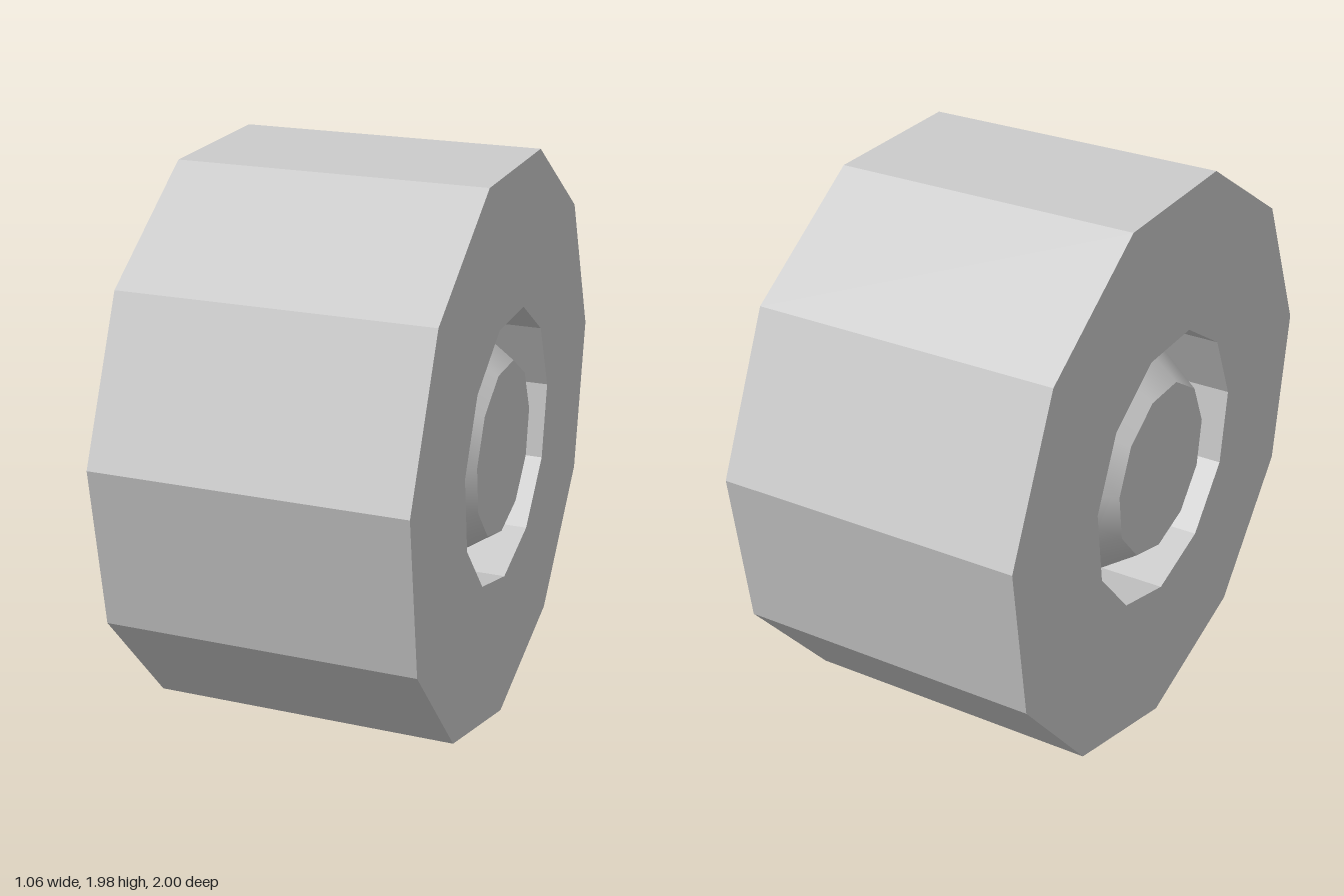
import * as THREE from 'three';

const SIDES = 11;
const HALF_WIDTH = 0.532;
const TYRE_RADIUS = 1.0104;
const BORE_RADIUS = 0.481;
const HUB_Y = 1.004;
const HUB_RADIUS = 0.475;
const CAP_RADIUS = 0.304;
const HUB_BASE_X = 0.265; // where the hub starts to taper
const HUB_CAP_X = 0.517; // flat outer face of the hub

// Regular polygon with one corner pointing straight down
function polygonPoints(radius) {
  return Array.from({ length: SIDES }, (_, i) => {
    const a = -Math.PI / 2 + (i / SIDES) * Math.PI * 2;
    return new THREE.Vector2(radius * Math.cos(a), radius * Math.sin(a));
  });
}

// Eleven-sided drum along x, with the same corner pointing down
function drum(outerRadius, innerRadius, length, open) {
  return new THREE.CylinderGeometry(outerRadius, innerRadius, length, SIDES, 1, open, Math.PI / 2)
    .rotateZ(-Math.PI / 2);
}

export function createModel() {
  const model = new THREE.Group();
  model.name = 'wheel';
  const flat = new THREE.MeshStandardMaterial({ color: 0xcccccc, flatShading: true });
  const smooth = new THREE.MeshStandardMaterial({ color: 0xcccccc });

  // Tyre: faceted ring with a bore right through it
  const ring = new THREE.Shape(polygonPoints(TYRE_RADIUS));
  ring.holes.push(new THREE.Path(polygonPoints(BORE_RADIUS).reverse()));
  const tyreGeometry = new THREE.ExtrudeGeometry(ring, { depth: HALF_WIDTH * 2, bevelEnabled: false });
  tyreGeometry.translate(0, 0, -HALF_WIDTH).rotateY(Math.PI / 2);
  const tyre = new THREE.Mesh(tyreGeometry, flat);
  tyre.name = 'tyre';
  tyre.position.y = TYRE_RADIUS;
  model.add(tyre);

  // Hub: a core with a tapered cap on each side
  const hub = new THREE.Group();
  hub.name = 'hub';
  hub.position.y = HUB_Y;
  const core = new THREE.Mesh(drum(HUB_RADIUS, HUB_RADIUS, HUB_BASE_X * 2, true), smooth);
  core.name = 'hubCore';
  hub.add(core);

  const capLength = HUB_CAP_X - HUB_BASE_X;
  for (const side of [1, -1]) {
    const geometry = side > 0
      ? drum(CAP_RADIUS, HUB_RADIUS, capLength, false)
      : drum(HUB_RADIUS, CAP_RADIUS, capLength, false);
    const cap = new THREE.Mesh(geometry, smooth);
    cap.name = side > 0 ? 'leftHubCap' : 'rightHubCap';
    cap.position.x = side * (HUB_BASE_X + capLength / 2);
    hub.add(cap);
  }
  model.add(hub);

  return model;
}
